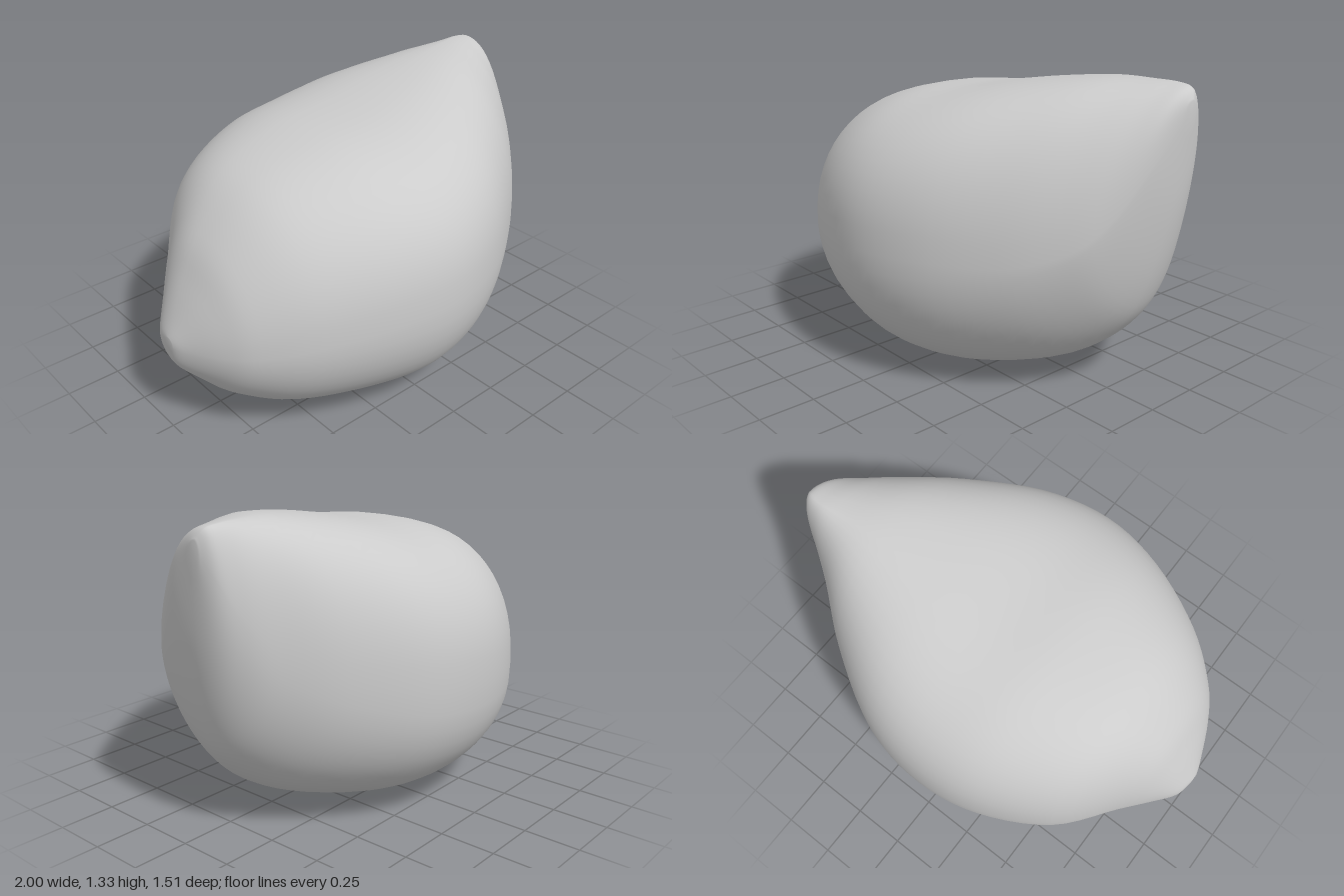
import * as THREE from 'three';

// Stations along x: extreme points of each cross-section, and its squareness
// x, bottom y, z | top y, z | front z, y | back z, y | exponent
const STATIONS = [
  [-1.0, 0.45, 0.05, 0.50, 0.04, 0.07, 0.47, 0.02, 0.47, 2.0],
  [-0.98, 0.36, 0.05, 0.55, 0.04, 0.13, 0.47, -0.06, 0.46, 2.0],
  [-0.9, 0.27, 0.06, 0.73, 0.03, 0.30, 0.49, -0.16, 0.46, 2.1],
  [-0.8, 0.18, 0.07, 0.91, 0.02, 0.43, 0.51, -0.28, 0.48, 2.2],
  [-0.6, 0.08, 0.08, 1.10, 0.0, 0.58, 0.55, -0.53, 0.52, 2.3],
  [-0.3, 0.03, 0.1, 1.20, 0.0, 0.71, 0.59, -0.70, 0.57, 2.4],
  [0.0, 0.0, 0.1, 1.235, 0.0, 0.755, 0.61, -0.755, 0.60, 2.45],
  [0.3, 0.03, 0.08, 1.285, -0.04, 0.68, 0.62, -0.71, 0.63, 2.4],
  [0.6, 0.13, 0.02, 1.325, -0.1, 0.50, 0.63, -0.54, 0.70, 2.2],
  [0.8, 0.30, -0.03, 1.33, -0.15, 0.33, 0.70, -0.37, 0.80, 2.0],
  [0.9, 0.50, -0.06, 1.328, -0.17, 0.20, 0.82, -0.285, 0.95, 1.9],
  [0.97, 0.83, -0.1, 1.315, -0.165, 0.05, 1.03, -0.225, 1.12, 1.9],
  [1.0, 1.17, -0.13, 1.27, -0.14, -0.11, 1.22, -0.16, 1.22, 2.0],
];
const RINGS = 60, SIDES = 56;

// Smooth interpolation of a station at t in 0..1
function stationAt(t) {
  const u = t * (STATIONS.length - 1);
  const i = Math.min(Math.floor(u), STATIONS.length - 2), f = u - i;
  const row = k => STATIONS[Math.max(0, Math.min(STATIONS.length - 1, k))];
  return row(i).map((b, c) => {
    const a = row(i - 1)[c], d = row(i + 1)[c], e = row(i + 2)[c];
    return b + 0.5 * f * (d - a + f * (2 * a - 5 * b + 4 * d - e + f * (3 * (b - d) + e - a)));
  });
}

// Point on a cross-section, made of four rounded quadrants
function sectionPoint(s, angle) {
  const [x, yb, zb, yt, zt, zf, yf, zk, yk, n] = s;
  const c = Math.cos(angle), q = Math.sin(angle);
  const top = q >= 0, front = c >= 0;
  const power = 2 / (top ? n : front ? n - 0.25 : n + 0.1);
  const z0 = top ? zt : zb, y0 = front ? yf : yk;
  return [
    x,
    y0 + ((top ? yt : yb) - y0) * Math.abs(q) ** power,
    z0 + ((front ? zf : zk) - z0) * Math.abs(c) ** power,
  ];
}

function stoneGeometry() {
  const positions = [], index = [];
  for (let i = 0; i <= RINGS; i++) {
    const s = stationAt(i / RINGS);
    for (let j = 0; j < SIDES; j++) positions.push(...sectionPoint(s, (j / SIDES) * Math.PI * 2));
  }
  for (let i = 0; i < RINGS; i++) {
    for (let j = 0; j < SIDES; j++) {
      const k = (j + 1) % SIDES;
      const a = i * SIDES + j, b = a + SIDES, c = (i + 1) * SIDES + k, d = i * SIDES + k;
      index.push(a, b, c, a, c, d);
    }
  }
  // Close both ends with a fan
  const left = positions.length / 3, right = left + 1, last = RINGS * SIDES;
  positions.push(-1, 0.475, 0.045, 1, 1.22, -0.135);
  for (let j = 0; j < SIDES; j++) {
    const k = (j + 1) % SIDES;
    index.push(left, j, k, right, last + k, last + j);
  }
  const geometry = new THREE.BufferGeometry();
  geometry.setAttribute('position', new THREE.Float32BufferAttribute(positions, 3));
  geometry.setIndex(index);
  geometry.computeVertexNormals();
  return geometry;
}

export function createModel() {
  const group = new THREE.Group();
  group.name = 'rock';
  const stone = new THREE.Mesh(stoneGeometry(), new THREE.MeshStandardMaterial({ color: 0xcccccc }));
  stone.name = 'stone';
  group.add(stone);
  return group;
}
